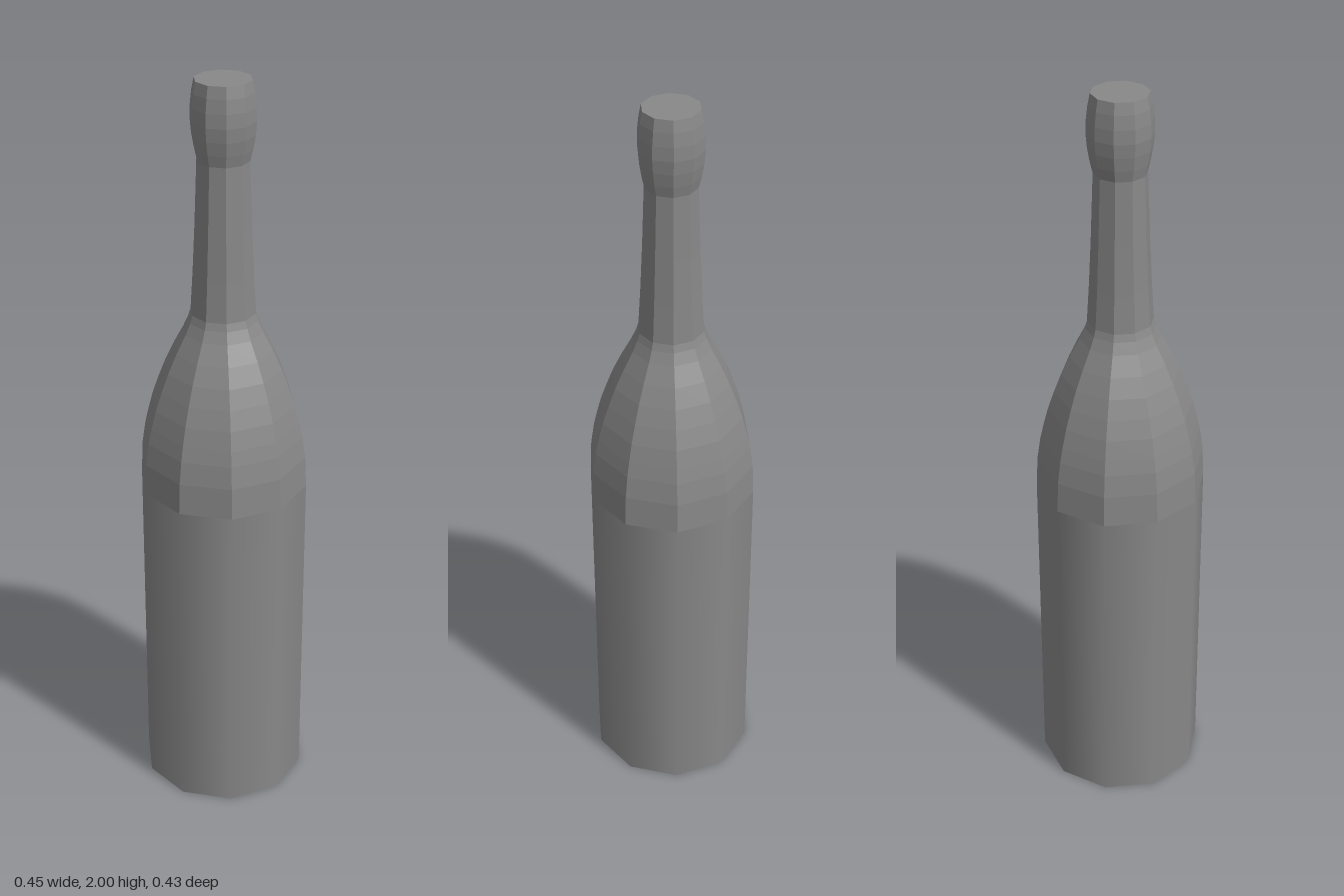
import * as THREE from 'three';

const SIDES = 10;

export function createModel() {
  const bottle = new THREE.Group();
  bottle.name = 'bottle';
  const color = 0x888888;
  const smooth = new THREE.MeshStandardMaterial({ color });
  const faceted = new THREE.MeshStandardMaterial({ color, flatShading: true });

  // Turns a [radius, height] profile, listed bottom to top, with a corner on +x.
  const turn = (name, profile, material) => {
    const points = profile.map(([r, y]) => new THREE.Vector2(r, y));
    const mesh = new THREE.Mesh(new THREE.LatheGeometry(points, SIDES, Math.PI / 2), material);
    mesh.name = name;
    bottle.add(mesh);
  };

  // flat underside
  turn('base', [[0, 0], [0.224, 0]], faceted);

  // straight, smooth-shaded lower body
  turn('body', [[0.224, 0], [0.224, 0.915]], smooth);

  // faceted shoulder curving in to the flared foot of the neck
  turn('shoulder', [
    [0.224, 0.915], [0.22, 1], [0.211, 1.06], [0.202, 1.1], [0.189, 1.15],
    [0.172, 1.2], [0.153, 1.25], [0.13, 1.3], [0.104, 1.35], [0.091, 1.38], [0.085, 1.4],
  ], faceted);

  // slightly tapered neck
  turn('neck', [[0.085, 1.4], [0.079, 1.5], [0.073, 1.63], [0.067, 1.8]], faceted);

  // bulging lip with its closed top
  turn('lip', [
    [0.067, 1.8], [0.074, 1.83], [0.08, 1.865], [0.083, 1.9],
    [0.082, 1.935], [0.078, 1.97], [0.072, 2], [0, 2],
  ], faceted);

  return bottle;
}
